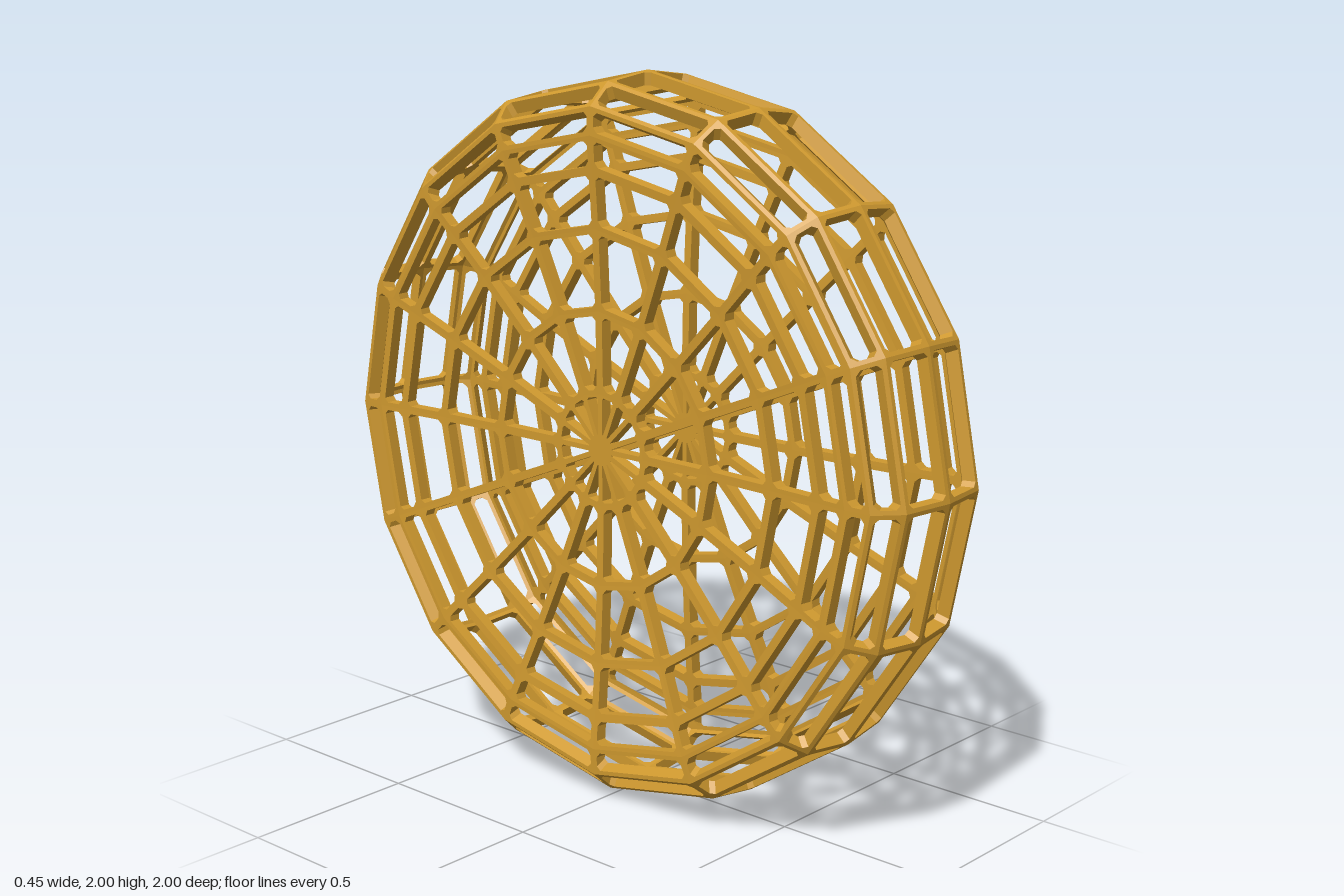
import * as THREE from 'three';

const SEGMENTS = 16;      // spokes around the axle
const HALF_WIDTH = 0.0115; // half strut width
const HALF_DEPTH = 0.017; // half strut thickness, across the lattice surface

// Half profile from hub to rim: [radius, x]
const half = [
  [0, 0.172], [0.155, 0.172], [0.38, 0.176], [0.6, 0.187], [0.755, 0.199],
  [0.845, 0.206], [0.912, 0.205], [0.964, 0.148],
];
const profile = [...half, [0.983, 0], ...half.slice().reverse().map(([r, x]) => [r, -x])];
const LAST = profile.length - 1;

// Point on the revolved profile, pushed along its surface normal
function latticePoint(j, k, offset) {
  const [r0, x0] = profile[Math.max(j - 1, 0)];
  const [r1, x1] = profile[Math.min(j + 1, LAST)];
  const n = new THREE.Vector2(x0 - x1, r1 - r0).normalize();
  if (j === 0) n.set(0, 1);
  if (j === LAST) n.set(0, -1);
  const r = profile[j][0] + n.x * offset;
  const t = (k * 2 * Math.PI) / SEGMENTS;
  return new THREE.Vector3(profile[j][1] + n.y * offset, r * Math.cos(t), r * Math.sin(t));
}

// Hole of a cell: the inset outline with chamfered corners, two points per corner
function holeOutline(base) {
  const n = base.length;
  const [width, chamfer] = n === 3 ? [0.007, 0.007] : [HALF_WIDTH, 0.0125];
  return base.flatMap((p, i) => {
    const a = base[(i + 1) % n].clone().sub(p).normalize();
    const b = base[(i + n - 1) % n].clone().sub(p).normalize();
    const q = p.clone().addScaledVector(a.clone().add(b), width / Math.sin(a.angleTo(b)));
    return [q.clone().addScaledVector(b, chamfer), q.clone().addScaledVector(a, chamfer)];
  });
}

// Frame one cell of the lattice: flat outer and inner faces joined by hole walls
function frameCell(corners, out) {
  const n = corners.length;
  const tri = (...points) => points.forEach((p) => out.push(p.x, p.y, p.z));
  const holes = [1, -1].map((side) => {
    const base = corners.map(([j, k]) => latticePoint(j, k, side * HALF_DEPTH));
    const hole = holeOutline(base);
    const face = (a, b, c) => (side > 0 ? tri(a, b, c) : tri(a, c, b));
    for (let i = 0; i < n; i++) {
      const m = (i + 1) % n;
      face(base[i], base[m], hole[2 * m]);
      face(base[i], hole[2 * m], hole[2 * i + 1]);
      face(base[i], hole[2 * i + 1], hole[2 * i]);
    }
    return hole;
  });
  const [outer, inner] = holes;
  for (let i = 0; i < outer.length; i++) {
    const m = (i + 1) % outer.length;
    tri(outer[i], outer[m], inner[m]);
    tri(outer[i], inner[m], inner[i]);
  }
}

// Lattice covering the profile bands from..to
function lattice(name, from, to, material) {
  const positions = [];
  for (let j = from; j < to; j++) {
    for (let k = 0; k < SEGMENTS; k++) {
      const cell = [[j, k], [j + 1, k], [j + 1, k + 1], [j, k + 1]];
      if (j === 0) cell.splice(3, 1);            // hub triangles
      if (j + 1 === LAST) cell.splice(2, 1);
      frameCell(cell, positions);
    }
  }
  const geometry = new THREE.BufferGeometry();
  geometry.setAttribute('position', new THREE.Float32BufferAttribute(positions, 3));
  geometry.computeVertexNormals();
  const mesh = new THREE.Mesh(geometry, material);
  mesh.name = name;
  return mesh;
}

export function createModel() {
  const group = new THREE.Group();
  group.name = 'latticeWheel';
  const gold = new THREE.MeshStandardMaterial({ color: 0xcf992f, flatShading: true });
  group.add(
    lattice('leftDishLattice', 0, 6, gold),
    lattice('rimLattice', 6, LAST - 6, gold),
    lattice('rightDishLattice', LAST - 6, LAST, gold),
  );
  group.position.y = 1;
  return group;
}
